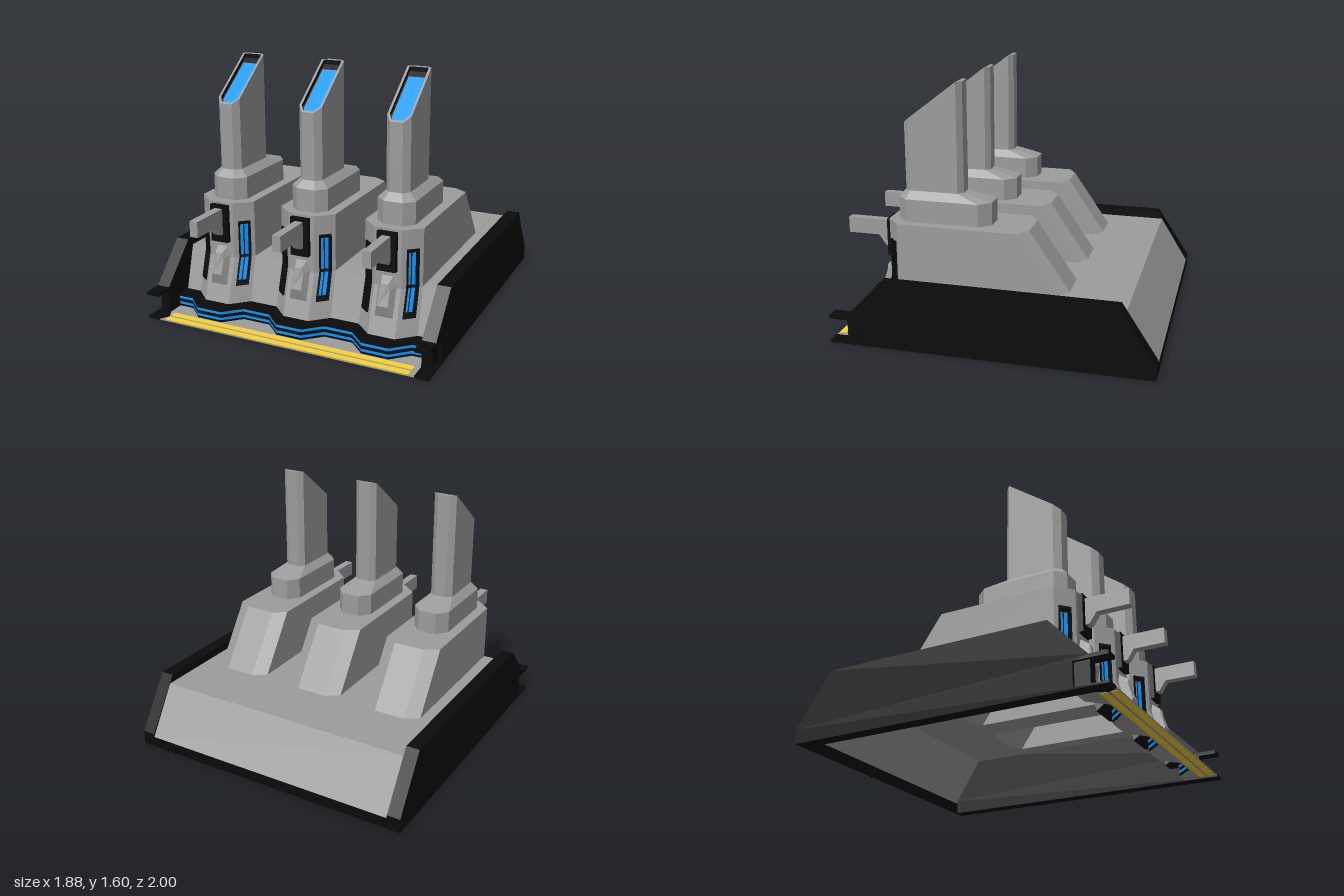
import * as THREE from 'three';

const mat = (color) => new THREE.MeshStandardMaterial({ color, flatShading: true, side: THREE.DoubleSide });
const grey = mat(0x9c9c9c), black = mat(0x0b0b0b), blue = mat(0x0a99ff), yellow = mat(0xf8d234);

function add(parent, name, geometry, material) {
  const mesh = new THREE.Mesh(geometry, material);
  mesh.name = name;
  parent.add(mesh);
}

// Skin between rings of [x, y, z] points, optionally closed round and capped
function loft(rings, { closed = true, end = false } = {}) {
  const pos = [];
  const tri = (a, b, c) => pos.push(...a, ...b, ...c);
  const n = rings[0].length;
  for (let r = 0; r < rings.length - 1; r++) {
    const a = rings[r], b = rings[r + 1];
    for (let i = 0; i < (closed ? n : n - 1); i++) {
      const j = (i + 1) % n;
      tri(a[i], a[j], b[j]);
      tri(a[i], b[j], b[i]);
    }
  }
  const last = rings[rings.length - 1];
  if (end) for (let i = 1; i < n - 1; i++) tri(last[0], last[i], last[i + 1]);
  const g = new THREE.BufferGeometry();
  g.setAttribute('position', new THREE.Float32BufferAttribute(pos, 3));
  g.computeVertexNormals();
  return g;
}

const shapeOf = (pts) => new THREE.Shape(pts.map(([a, b]) => new THREE.Vector2(a, b)));

// Profile of [z, y] points pushed across x
function extrudeX(pts, x0, x1) {
  const g = new THREE.ExtrudeGeometry(shapeOf(pts), { depth: x1 - x0, bevelEnabled: false });
  return g.rotateY(-Math.PI / 2).translate(x1, 0, 0);
}

// Plan of [x, z] points pushed up y
function extrudeY(pts, y0, y1) {
  const g = new THREE.ExtrudeGeometry(shapeOf(pts), { depth: y1 - y0, bevelEnabled: false });
  return g.rotateX(Math.PI / 2).translate(0, y1, 0);
}

function box(x0, x1, y0, y1, z0, z1) {
  return new THREE.BoxGeometry(x1 - x0, y1 - y0, z1 - z0)
    .translate((x0 + x1) / 2, (y0 + y1) / 2, (z0 + z1) / 2);
}

// Eight-sided ring: half width w, half widths of front and back faces, four z stations
function octagon(y, w, wf, wb, z0, z1, z2, z3) {
  const h = typeof y === 'function' ? y : () => y;
  return [[-wf, z3], [wf, z3], [w, z2], [w, z1], [wb, z0], [-wb, z0], [-w, z1], [-w, z2]]
    .map(([x, z]) => [x, h(z), z]);
}

const towerX = [-0.565, 0, 0.565];
const FOOT = 0.095, ROOF = 0.375, TOP = 0.735, INNER = 0.855;
const lerp = THREE.MathUtils.lerp;
const slope = (z) => Math.min(1.595, 1.335 + (0.6 - z) * 0.765);
const lean = (y) => Math.max(0, (ROOF - y) / (ROOF - FOOT));
const faceZ = (y) => 0.70 + 0.09 * lean(y);

// Angled front corner of a tower, with a framed recess holding two light bars
function addCorner(t, side) {
  const point = (u, y, o = 0) => [
    side * (lerp(0.185 + 0.005 * lean(y), 0.085, u) + 0.67 * o),
    y,
    lerp(0.61 + 0.08 * lean(y), faceZ(y), u) + 0.74 * o,
  ];
  const strip = (u0, u1, ys, o) => {
    const [a, b] = side > 0 ? [u1, u0] : [u0, u1];
    return loft(ys.map((y) => [point(a, y, o), point(b, y, o)]), { closed: false });
  };
  const outline = (u0, u1, y0, y1, o) => {
    const ring = [[u1, y0], [u0, y0], [u0, ROOF], [u0, y1], [u1, y1], [u1, ROOF]]
      .map(([u, y]) => point(u, y, o));
    return side > 0 ? ring : ring.reverse();
  };
  add(t, 'cornerOuter', strip(0, 0.2, [FOOT, ROOF, TOP], 0), grey);
  add(t, 'cornerInner', strip(0.77, 1, [FOOT, ROOF, TOP], 0), grey);
  add(t, 'cornerLower', strip(0.2, 0.77, [FOOT, 0.205], 0), grey);
  add(t, 'cornerUpper', strip(0.2, 0.77, [0.615, TOP], 0), grey);
  add(t, 'lightFrame', loft([
    outline(0.2, 0.77, 0.205, 0.615, 0),
    outline(0.2, 0.77, 0.205, 0.615, 0.01),
    outline(0.27, 0.70, 0.222, 0.598, 0.01),
    outline(0.27, 0.70, 0.222, 0.598, -0.025),
  ]), black);
  add(t, 'lightBack', strip(0.27, 0.70, [0.222, ROOF, 0.598], -0.025), black);
  for (const u of [0.29, 0.51]) {
    for (const ys of [[0.228, 0.366], [0.384, 0.592]]) {
      for (const o of [-0.022, -0.028]) add(t, 'lightBar', strip(u, u + 0.17, ys, o), blue);
    }
  }
}

function createTower() {
  const t = new THREE.Group();
  t.name = 'tower';
  // hollow body: sides and back, front face with splayed foot, top
  const lower = octagon(ROOF, 0.185, 0.085, 0.1, -0.44, -0.385, 0.61, 0.70);
  const upper = octagon(TOP, 0.185, 0.085, 0.1, -0.19, -0.135, 0.61, 0.70);
  add(t, 'towerSides', loft([lower.slice(2), upper.slice(2)], { closed: false }), grey);
  add(t, 'towerFront', loft([FOOT, ROOF, TOP].map((y) =>
    [[-0.085, y, faceZ(y)], [0.085, y, faceZ(y)]]), { closed: false }), grey);
  add(t, 'towerTop', loft([upper], { end: true }), grey);
  for (const side of [-1, 1]) addCorner(t, side);

  // collar tapering into the slanted chimney, ending in a thin rim
  const mouth = (drop) => octagon((z) => slope(z) - drop, 0.06, 0.035, 0.055, 0.262, 0.268, 0.555, 0.588);
  add(t, 'chimney', loft([
    octagon(TOP, 0.12, 0.06, 0.06, 0.05, 0.12, 0.58, 0.64),
    octagon(0.875, 0.12, 0.06, 0.06, 0.05, 0.12, 0.58, 0.64),
    octagon(0.92, 0.075, 0.04, 0.04, 0.23, 0.26, 0.56, 0.60),
    octagon(slope, 0.075, 0.04, 0.04, 0.23, 0.26, 0.56, 0.60),
    mouth(0),
  ]), grey);

  // glowing panel sunk into the slanted top
  add(t, 'chimneyRecess', loft([mouth(0), mouth(0.028)], { end: true }), black);
  add(t, 'chimneyLight', loft([
    octagon((z) => slope(z) - 0.024, 0.05, 0.03, 0.05, 0.3, 0.305, 0.55, 0.578),
  ], { end: true }), blue);

  // barrel and its mount
  add(t, 'barrelMount', box(-0.06, 0.06, 0.48, 0.72, 0.69, 0.73), black);
  add(t, 'barrel', extrudeX([[0.72, 0.7], [1, 0.7], [1, 0.6], [0.8, 0.6], [0.755, 0.535], [0.72, 0.535]],
    -0.027, 0.027), grey);

  // faceted hump under the barrel
  const hump = (pts, o) => pts.map(([x, y]) => [x, y, faceZ(y) + o]);
  add(t, 'frontHump', loft([
    hump([[-0.057, 0.205], [0.057, 0.205], [0.057, 0.39], [0.035, 0.445], [-0.035, 0.445], [-0.057, 0.39]], 0),
    hump([[-0.035, 0.28], [0.035, 0.28], [0.035, 0.375], [0.022, 0.41], [-0.022, 0.41], [-0.035, 0.375]], 0.05),
  ], { end: true }), grey);
  return t;
}

export function createModel() {
  const model = new THREE.Group();
  model.name = 'baseWithTowers';

  // side walls with two front ledges and a set-in post between them
  const wall = [[-1, 0], [-1, 0.09], [-0.78, 0.425], [0.66, 0.425], [0.89, 0.18],
    [1, 0.18], [1, 0.157], [0.8, 0.157], [0.8, 0.014], [1, 0.014], [1, 0]];
  for (const [name, side] of [['leftWall', 1], ['rightWall', -1]]) {
    const [a, b] = side > 0 ? [INNER, 0.94] : [-0.94, -INNER];
    add(model, name, extrudeX(wall, a, b), black);
    add(model, 'wallPost', box(a + (side < 0 ? 0.02 : 0), b - (side > 0 ? 0.02 : 0), 0.01, 0.16, 0.79, 0.89), black);
  }

  // roof, notched round each tower
  const roof = [[-INNER, -0.81], [INNER, -0.81], [INNER, 0.61]];
  for (const c of [...towerX].reverse()) {
    roof.push([c + 0.185, 0.61], [c + 0.185, -0.385], [c + 0.1, -0.44],
      [c - 0.1, -0.44], [c - 0.185, -0.385], [c - 0.185, 0.61]);
  }
  roof.push([-INNER, 0.61]);
  add(model, 'roof', new THREE.ShapeGeometry(shapeOf(roof.map(([x, z]) => [x, -z])))
    .rotateX(-Math.PI / 2).translate(0, ROOF, 0), grey);

  // back slope and lip
  add(model, 'backSlope', loft([
    [[INNER, 0.07, -1], [-INNER, 0.07, -1]],
    [[INNER, ROOF, -0.81], [-INNER, ROOF, -0.81]],
  ], { closed: false }), grey);
  add(model, 'backLip', box(-INNER, INNER, 0, 0.07, -1, -0.985), black);

  // sloped front panels between the towers
  const edges = [-INNER, ...towerX.flatMap((c) => [c - 0.185, c + 0.185]), INNER];
  for (let i = 0; i < edges.length; i += 2) {
    const [a, b] = [edges[i], edges[i + 1]];
    add(model, 'frontPanel', loft([
      [[a, FOOT, 0.69], [b, FOOT, 0.69]],
      [[a, ROOF, 0.61], [b, ROOF, 0.61]],
    ], { closed: false }), grey);
  }

  // zigzag front band, open behind, with two light lines
  const front = [[-INNER, 0.78],
    ...towerX.flatMap((c) => [[c - 0.19, 0.78], [c - 0.085, 0.88], [c + 0.085, 0.88], [c + 0.19, 0.78]]),
    [INNER, 0.78]];
  const line = (y, o) => front.map(([x, z]) => [x, y, z + o]);
  add(model, 'frontBand', loft([line(0.005, 0), line(FOOT, 0), line(FOOT, -0.095)], { closed: false }), black);
  for (const y of [0.025, 0.063]) {
    for (const o of [-0.003, 0.003]) {
      add(model, 'bandLight', loft([line(y, o), line(y + 0.017, o)], { closed: false }), blue);
    }
  }

  // front sill with painted stripes and a dark corner wedge
  add(model, 'sill', extrudeY([...front, [INNER, 1], [-INNER, 1]], 0.003, 0.01), grey);
  for (const z of [0.893, 0.953]) {
    add(model, 'sillStripe', box(-0.82, 0.82, 0.001, 0.013, z, z + 0.042), yellow);
  }
  add(model, 'sillCorner', extrudeY([[-INNER, 0.885], [-0.82, 0.945], [-INNER, 1]], 0, 0.014), black);

  for (const x of towerX) {
    const tower = createTower();
    tower.position.x = x;
    model.add(tower);
  }
  return model;
}
